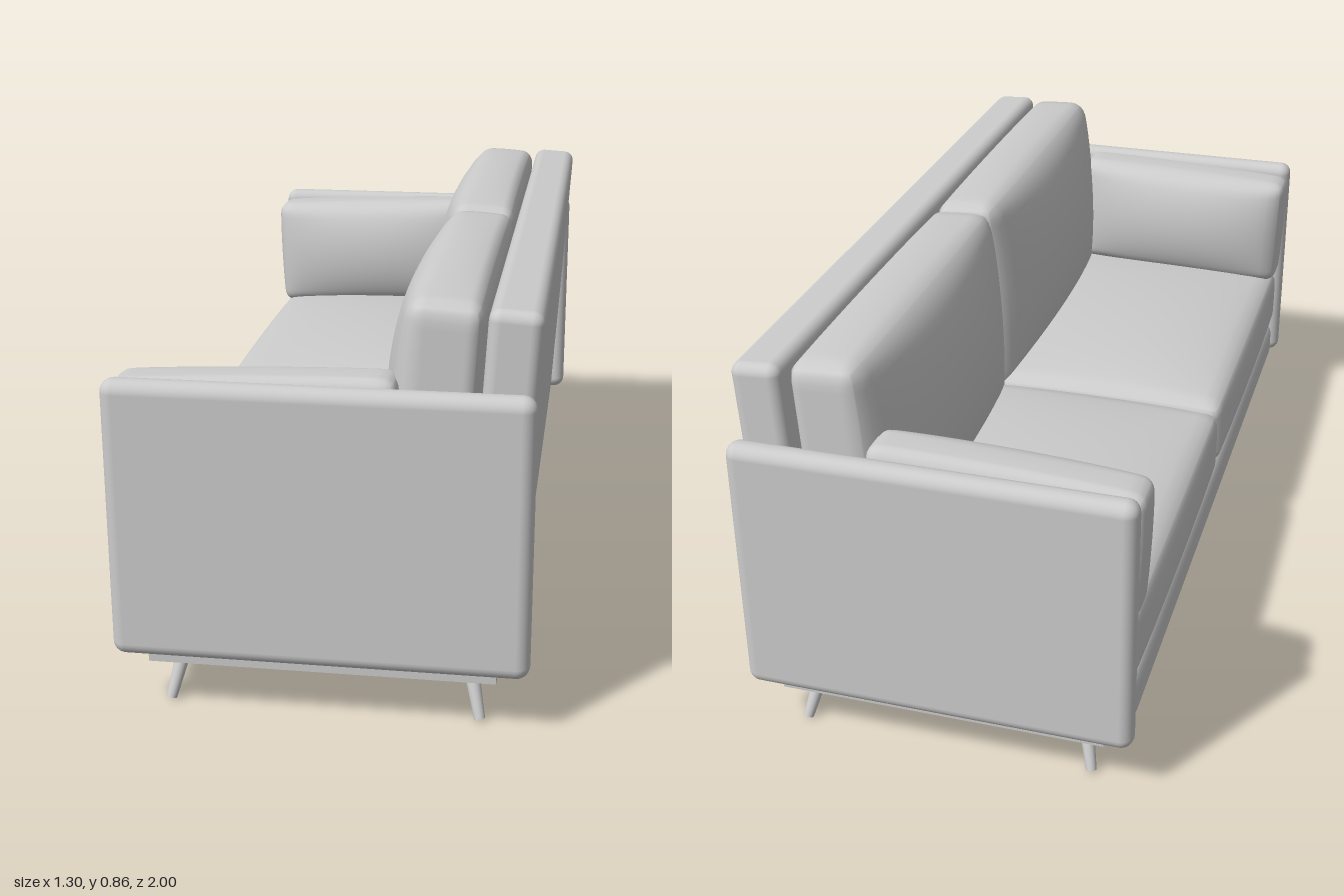
import * as THREE from 'three';
import { RoundedBoxGeometry } from 'three/addons/geometries/RoundedBoxGeometry.js';
import { mergeVertices } from 'three/addons/utils/BufferGeometryUtils.js';

const material = new THREE.MeshStandardMaterial({ color: 0xcccccc });
const BACK_LEAN = -0.06;
const PILLOW_LEAN = 0.04;

function add(parent, name, geometry, x, y, z) {
  const mesh = new THREE.Mesh(geometry, material);
  mesh.name = name;
  mesh.position.set(x, y, z);
  parent.add(mesh);
  return mesh;
}

// Rounded block given by its minimum and maximum corners
function block(parent, name, [x0, y0, z0], [x1, y1, z1], r) {
  const g = new RoundedBoxGeometry(x1 - x0, y1 - y0, z1 - z0, 4, r);
  return add(parent, name, g, (x0 + x1) / 2, (y0 + y1) / 2, (z0 + z1) / 2);
}

// Stuffed cushion: rounded box whose faces swell along each axis.
// The sign of each bulge picks the face that swells.
function cushion(parent, name, min, max, r, bulge) {
  const lo = new THREE.Vector3(...min), hi = new THREE.Vector3(...max);
  const size = hi.clone().sub(lo), half = size.clone().multiplyScalar(0.5);
  let g = new THREE.BoxGeometry(size.x, size.y, size.z, 30, 30, 30);
  g.deleteAttribute('uv');
  g.deleteAttribute('normal');
  g = mergeVertices(g);
  const pos = g.attributes.position, p = new THREE.Vector3(), core = new THREE.Vector3();
  const inner = half.clone().subScalar(r), outer = inner.clone().negate();
  for (let i = 0; i < pos.count; i++) {
    p.fromBufferAttribute(pos, i);
    core.copy(p).clamp(outer, inner);
    p.sub(core).setLength(r).add(core);
    const t = p.clone().divide(half).toArray();
    const swell = bulge.map((b, a) => {
      const s = t[(a + 1) % 3], q = t[(a + 2) % 3];
      const dome = Math.max(0, 1 - s * s) * Math.max(0, 1 - q * q);
      return b * (1 + Math.sign(b) * t[a]) / 2 * Math.pow(dome, 0.6);
    });
    pos.setXYZ(i, p.x + swell[0], p.y + swell[1], p.z + swell[2]);
  }
  g.computeVertexNormals();
  const c = lo.add(hi).multiplyScalar(0.5);
  return add(parent, name, g, c.x, c.y, c.z);
}

// Tapered round leg between two points
function leg(parent, top, bottom) {
  const axis = top.clone().sub(bottom);
  const mesh = add(parent, 'leg', new THREE.CylinderGeometry(0.016, 0.011, axis.length(), 20), 0, 0, 0);
  mesh.position.copy(top).add(bottom).multiplyScalar(0.5);
  mesh.quaternion.setFromUnitVectors(new THREE.Vector3(0, 1, 0), axis.normalize());
}

export function createModel() {
  const model = new THREE.Group();
  model.name = 'sofa';

  // The sofa is built square, then turned about the vertical
  const sofa = new THREE.Group();
  sofa.name = 'sofaBody';
  sofa.rotation.y = -THREE.MathUtils.degToRad(73.5);
  model.add(sofa);

  // Frame, with the back panel leaning slightly backwards
  add(sofa, 'basePlate', new THREE.BoxGeometry(1.78, 0.02, 0.69), 0, 0.11, 0);
  block(sofa, 'seatBase', [-0.86, 0.12, -0.33], [0.86, 0.242, 0.397], 0.04);
  block(sofa, 'backPanel', [-0.857, 0.122, -0.396], [0.857, 0.837, -0.292], 0.024).rotation.x = BACK_LEAN;

  for (const s of [-1, 1]) {
    const span = (a, b) => [Math.min(s * a, s * b), Math.max(s * a, s * b)];

    // Arm panel
    const [a0, a1] = span(0.872, 0.928);
    block(sofa, 'arm', [a0, 0.125, -0.41], [a1, 0.693, 0.41], 0.027);

    // Seat and back cushions
    const [c0, c1] = span(0.002, 0.858);
    cushion(sofa, 'seatCushion', [c0, 0.24, -0.25], [c1, 0.395, 0.396], 0.03, [0, 0.045, 0.008]);
    const [b0, b1] = span(0.002, 0.84);
    cushion(sofa, 'backCushion', [b0, 0.36, -0.292], [b1, 0.837, -0.15], 0.03, [0, 0.017, 0.065])
      .rotation.x = BACK_LEAN;

    // Arm pillow, swelling towards the seat
    const [p0, p1] = span(0.765, 0.868);
    cushion(sofa, 'armPillow', [p0, 0.4, -0.15], [p1, 0.685, 0.404], 0.028, [-s * 0.058, 0.006, 0.006])
      .rotation.x = PILLOW_LEAN;

    // Splayed legs
    for (const f of [-1, 1]) {
      leg(sofa, new THREE.Vector3(s * 0.815, 0.105, f * 0.288), new THREE.Vector3(s * 0.855, 0.003, f * 0.312));
    }
  }
  return model;
}
